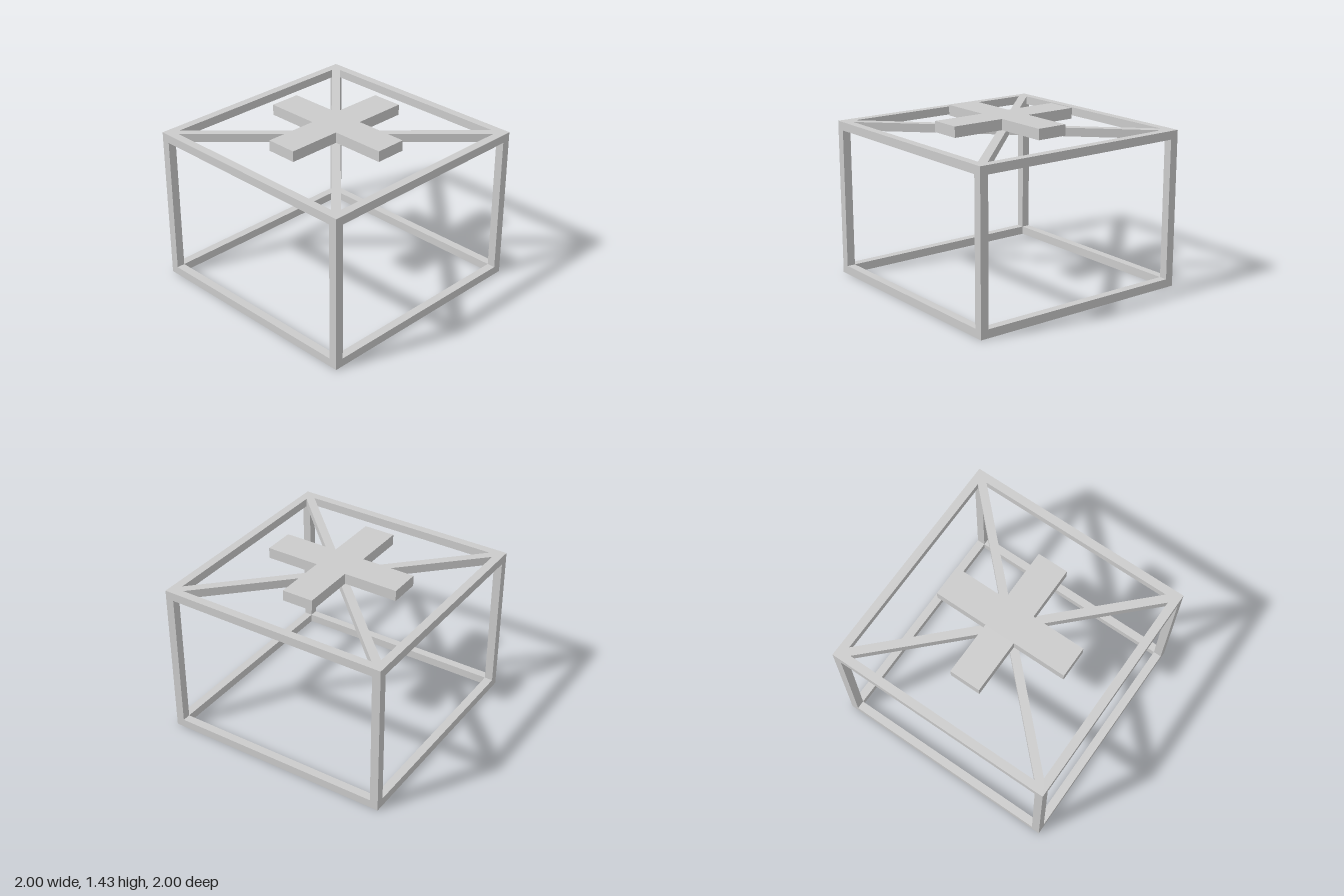
import * as THREE from 'three';

const HEIGHT = 1.34, BAR = 0.072, INNER = 1 - BAR;
const material = new THREE.MeshStandardMaterial({ color: 0xcccccc, flatShading: true });

const points = (list) => list.map(([x, y]) => new THREE.Vector2(x, y));

// Flat plate lying in the xz plane, from height y upwards
function plate(name, outline, holes, thickness, y) {
  const shape = new THREE.Shape(points(outline));
  shape.holes = holes.map((h) => new THREE.Path(points(h)));
  const geometry = new THREE.ExtrudeGeometry(shape, { depth: thickness, bevelEnabled: false });
  geometry.rotateX(-Math.PI / 2);
  const mesh = new THREE.Mesh(geometry, material);
  mesh.name = name;
  mesh.position.y = y;
  return mesh;
}

const square = (r) => [[-r, -r], [r, -r], [r, r], [-r, r]];

// Repeats a run of points in four quarter turns
function quarterTurns(list) {
  return [0, 1, 2, 3].map((k) => list.map(([x, y]) => {
    for (let i = 0; i < k; i++) [x, y] = [-y, x];
    return [x, y];
  }));
}

export function createModel() {
  const model = new THREE.Group();
  model.name = 'cubeFrameWithCross';

  // Bottom ring
  model.add(plate('bottomFrame', square(1), [square(INNER)], BAR, 0));

  // Top ring with diagonal braces: four triangular openings leave the X standing
  const offset = BAR / Math.SQRT2;
  const opening = [[0, offset], [INNER - offset, INNER], [offset - INNER, INNER]];
  model.add(plate('topFrameWithBraces', square(1), quarterTurns(opening), BAR, HEIGHT - BAR));

  // Corner posts between the rings
  const postGeometry = new THREE.BoxGeometry(BAR, HEIGHT - 2 * BAR, BAR);
  for (const x of [-1, 1]) {
    for (const z of [-1, 1]) {
      const post = new THREE.Mesh(postGeometry, material);
      post.name = `${z > 0 ? 'front' : 'back'}${x > 0 ? 'Left' : 'Right'}Post`;
      post.position.set(x * (1 - BAR / 2), HEIGHT / 2, z * (1 - BAR / 2));
      model.add(post);
    }
  }

  // Raised cross plate resting on the braces
  const reach = 0.607, half = 0.136;
  const arm = [[half, half], [half, reach], [-half, reach]];
  model.add(plate('crossPlate', quarterTurns(arm).flat(), [], 0.092, HEIGHT));

  return model;
}
